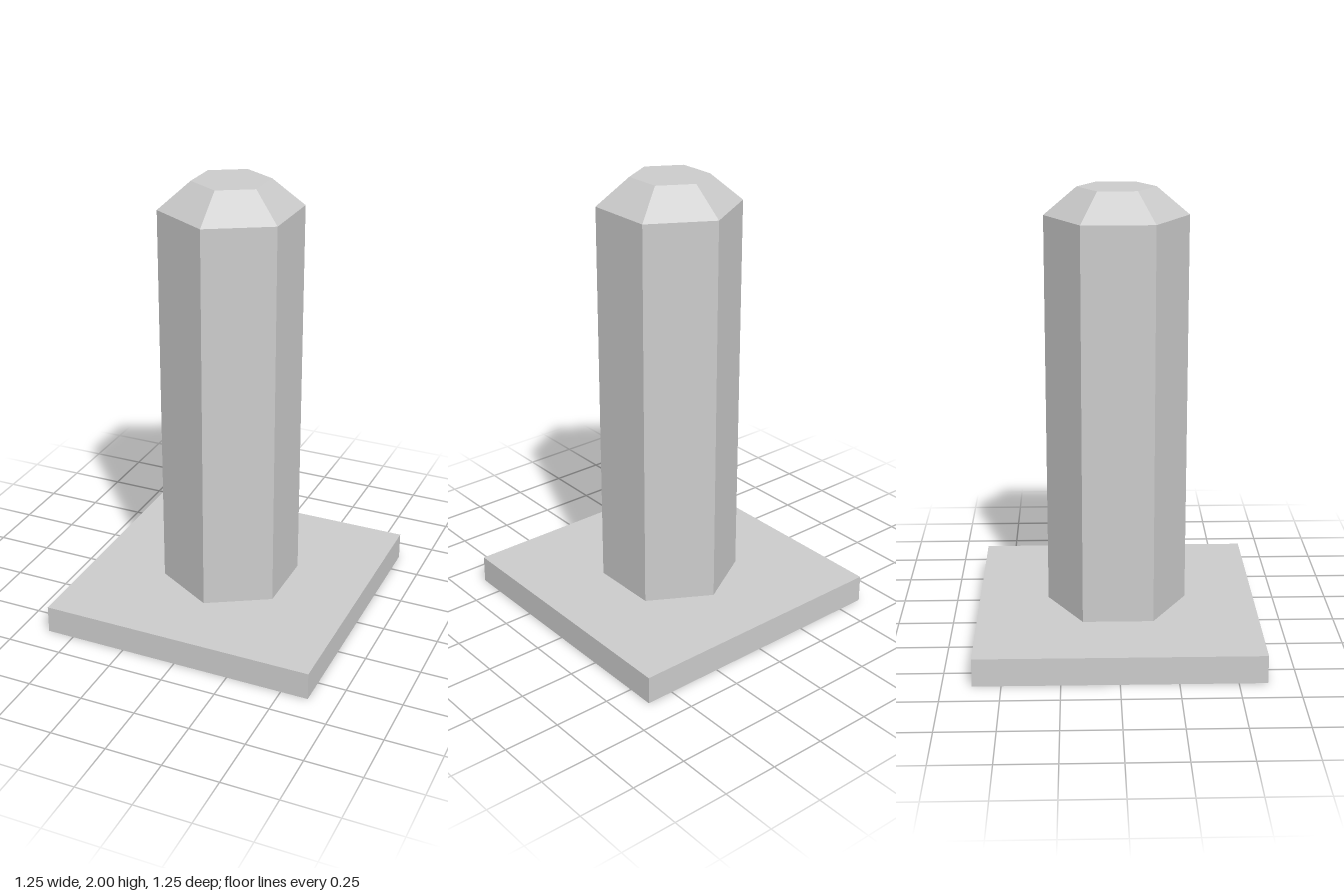
import * as THREE from 'three';

export function createModel() {
  const model = new THREE.Group();
  const material = new THREE.MeshStandardMaterial({ color: 0xcccccc, flatShading: true });

  const BASE_TOP = 0.125, SHAFT_TOP = 1.88, TOP = 2;
  const BASE_WIDTH = 1.245, RADIUS = 0.311, TIP_RADIUS = 0.169;

  // Adds a part standing between two heights
  const addPart = (name, geometry, bottom, top) => {
    const mesh = new THREE.Mesh(geometry, material);
    mesh.name = name;
    mesh.position.y = (bottom + top) / 2;
    model.add(mesh);
  };

  // Square base plate
  addPart('basePlate', new THREE.BoxGeometry(BASE_WIDTH, BASE_TOP, BASE_WIDTH), 0, BASE_TOP);

  // Hexagonal post with corners facing front and back; a single lathe keeps shaft and chamfer joined
  const profile = [
    [RADIUS, BASE_TOP], [RADIUS, SHAFT_TOP], [TIP_RADIUS, TOP], [0, TOP],
  ].map(([r, y]) => new THREE.Vector2(r, y));
  addPart('hexagonalPost', new THREE.LatheGeometry(profile, 6), 0, 0);

  return model;
}
